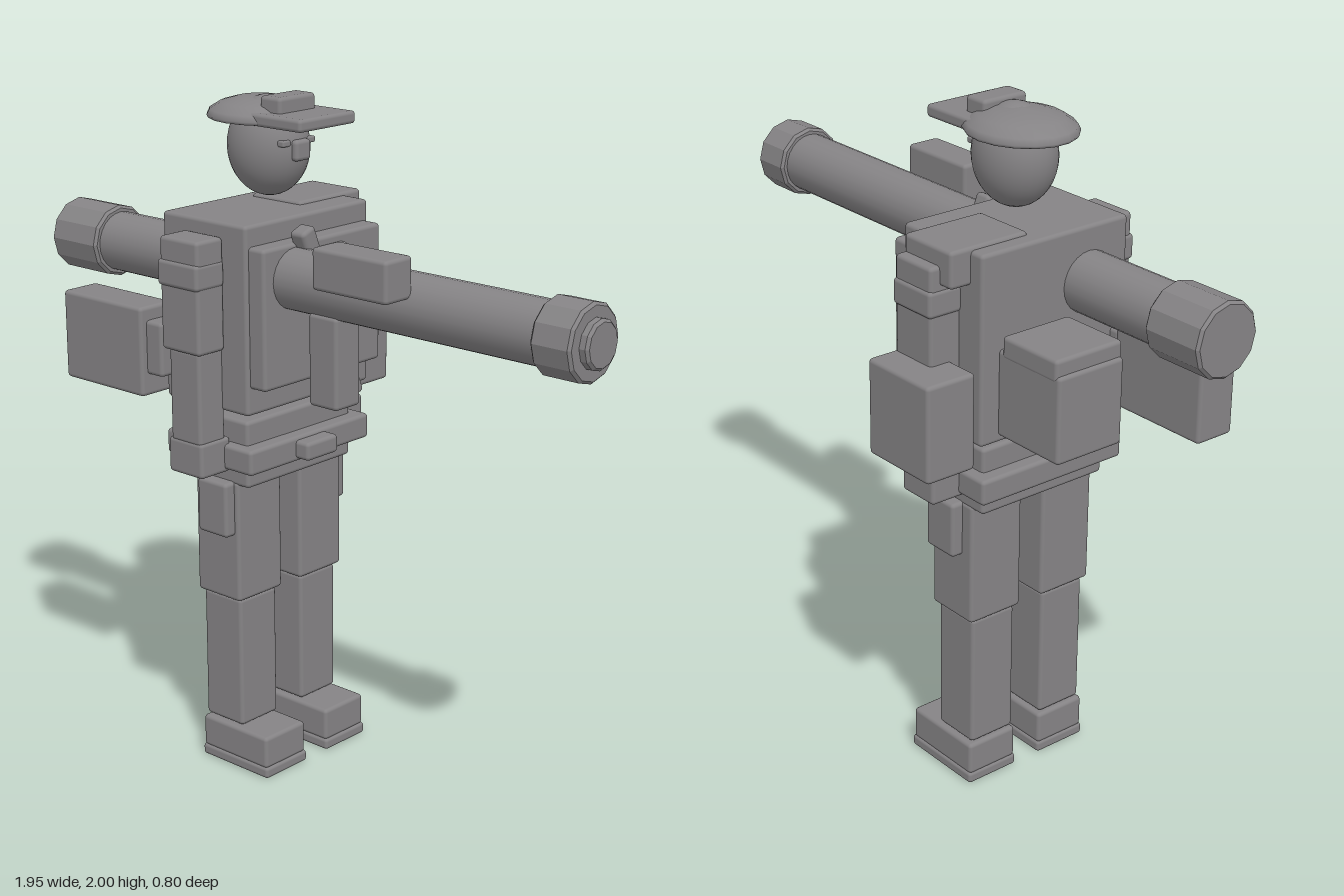
import * as THREE from 'three';
import { RoundedBoxGeometry } from 'three/addons/geometries/RoundedBoxGeometry.js';

const MID = 0.042; // z of the figure's own mirror plane

export function createModel() {
  const model = new THREE.Group();
  model.name = 'soldier';
  const plain = new THREE.MeshStandardMaterial({ color: 0x858385 });
  plain.name = 'plain grey';
  const faceted = new THREE.MeshStandardMaterial({ color: 0x858385, flatShading: true });
  faceted.name = 'plain grey faceted';

  const add = (name, geometry, material = plain) => {
    const mesh = new THREE.Mesh(geometry, material);
    mesh.name = name;
    model.add(mesh);
    return mesh;
  };

  // Softly bevelled box from its limits on each axis
  const box = (name, [x0, x1], [y0, y1], [z0, z1]) => {
    const w = x1 - x0, h = y1 - y0, d = z1 - z0;
    const radius = Math.min(0.012, 0.3 * Math.min(w, h, d));
    const mesh = add(name, new RoundedBoxGeometry(w, h, d, 2, radius));
    mesh.position.set((x0 + x1) / 2, (y0 + y1) / 2, (z0 + z1) / 2);
    return mesh;
  };

  // Box on both sides of the figure; z limits are distances from its middle
  const pair = (name, xs, ys, [a, b]) => {
    box(name + 'Near', xs, ys, [MID + a, MID + b]);
    box(name + 'Far', xs, ys, [MID - b, MID - a]);
  };

  // Legs
  pair('sole', [-0.375, -0.105], [0, 0.035], [0.043, 0.218]);
  pair('boot', [-0.373, -0.11], [0.03, 0.13], [0.046, 0.215]);
  pair('shin', [-0.368, -0.217], [0.135, 0.54], [0.053, 0.205]);
  pair('thigh', [-0.378, -0.205], [0.54, 0.91], [0.039, 0.22]);
  pair('hipPouch', [-0.337, -0.22], [0.745, 0.91], [0.2, 0.255]);

  // Waist and belt
  box('waist', [-0.42, -0.165], [0.9, 1.1], [-0.175, 0.26]);
  box('belt', [-0.463, -0.12], [0.955, 1.03], [-0.21, 0.293]);
  box('buckle', [-0.13, -0.072], [0.965, 1.02], [-0.022, 0.108]);

  // Torso and vest
  box('torso', [-0.457, -0.13], [1.13, 1.675], [-0.215, 0.292]);
  box('vestPlate', [-0.15, -0.073], [1.21, 1.615], [-0.205, 0.28]);
  box('shoulderPad', [-0.41, -0.215], [1.58, 1.685], [-0.28, -0.02]);
  box('chestPatch', [-0.12, -0.05], [1.485, 1.59], [-0.045, 0.11]);
  const strap = box('strap', [-0.09, -0.035], [1.115, 1.675], [0.007, 0.062]);
  strap.rotation.x = 0.38;

  // Arms
  pair('upperArm', [-0.365, -0.215], [1.31, 1.635], [0.25, 0.353]);
  pair('armBand', [-0.37, -0.212], [1.495, 1.57], [0.25, 0.36]);
  pair('forearm', [-0.35, -0.23], [1.04, 1.315], [0.24, 0.34]);
  pair('hand', [-0.36, -0.225], [0.945, 1.05], [0.225, 0.342]);

  // Packs
  box('sidePouch', [-0.465, -0.21], [1.08, 1.36], [-0.4, -0.24]);
  box('backpack', [-0.695, -0.45], [1.15, 1.4], [-0.155, 0.07]);
  box('backpackLid', [-0.685, -0.47], [1.38, 1.445], [-0.157, 0.072]);
  box('supplyCase', [-0.81, -0.48], [1.135, 1.4], [0.24, 0.367]);
  box('caseBracket', [-0.49, -0.42], [1.2, 1.36], [0.24, 0.345]);

  // Head and face
  const head = add('head', new THREE.SphereGeometry(1, 32, 20));
  head.scale.set(0.126, 0.143, 0.11);
  head.position.set(-0.278, 1.85, MID);
  box('nose', [-0.18, -0.14], [1.82, 1.88], [0.011, 0.073]);
  pair('eye', [-0.2, -0.158], [1.863, 1.881], [0.034, 0.066]);

  // Cap: domed crown, peak and badge
  const profile = [[0, 0], [0.97, 0], [1, 0.008], [0.95, 0.024], [0.75, 0.044], [0.45, 0.058], [0, 0.064]];
  const crown = add('capCrown',
    new THREE.LatheGeometry(profile.map(([r, y]) => new THREE.Vector2(r, y)), 18));
  crown.scale.set(0.167, 1, 0.148);
  crown.position.set(-0.313, 1.923, 0.032);
  box('capPeak', [-0.25, -0.055], [1.92, 1.956], [-0.08, 0.15]);
  box('capBadge', [-0.247, -0.168], [1.945, 2], [-0.038, 0.11]);

  // Shoulder-carried tube, each ring running along x with bevelled ends
  const ring = (name, x0, x1, r, sides, material) => {
    const b = 0.008;
    const pts = [[0, x0], [r - b, x0], [r, x0 + b], [r, x1 - b], [r - b, x1], [0, x1]];
    const geometry = new THREE.LatheGeometry(pts.map(([q, y]) => new THREE.Vector2(q, y)), sides);
    geometry.rotateZ(-Math.PI / 2);
    add(name, geometry, material).position.set(0, 1.516, 0.155);
  };
  ring('launchTube', -0.9, 0.9, 0.088, 24, plain);
  ring('rearFlare', -0.975, -0.782, 0.107, 12, faceted);
  ring('muzzleCollar', 0.82, 0.946, 0.107, 12, faceted);
  ring('muzzleCap', 0.93, 0.972, 0.068, 12, faceted);
  box('sight', [0.145, 0.407], [1.55, 1.667], [0.218, 0.325]);
  box('grip', [0.025, 0.13], [1.18, 1.445], [0.108, 0.21]);

  return model;
}
